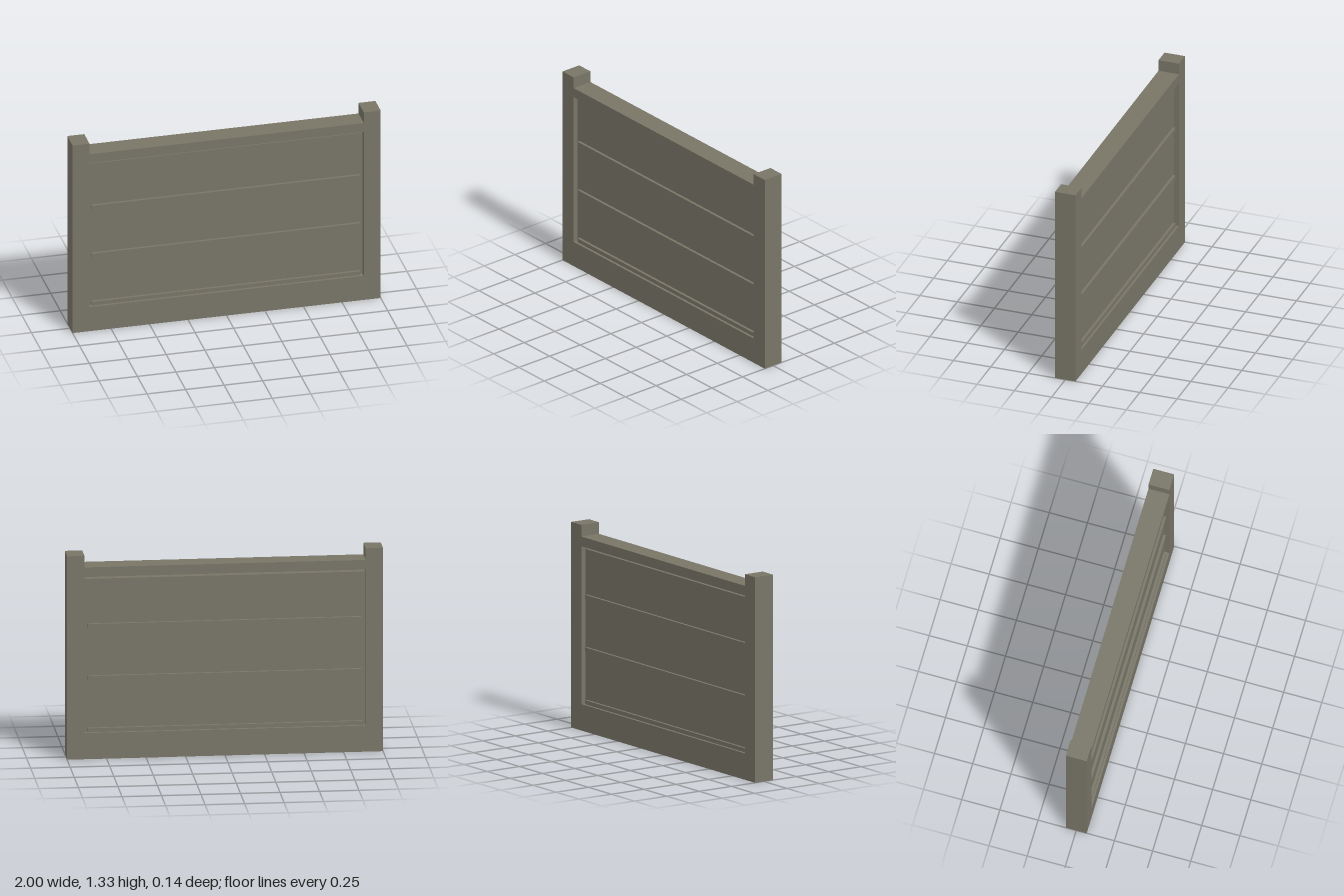
import * as THREE from 'three';

export function createModel() {
  const group = new THREE.Group();
  const paint = new THREE.MeshStandardMaterial({ color: 0x787567 });
  paint.name = 'grey olive';

  // Box centred on x and z, given its bottom and top
  function box(name, width, bottom, top, depth, x = 0, z = 0) {
    const mesh = new THREE.Mesh(new THREE.BoxGeometry(width, top - bottom, depth), paint);
    mesh.name = name;
    mesh.position.set(x, (bottom + top) / 2, z);
    group.add(mesh);
  }

  const depth = 0.137, inner = 0.89, panelDepth = 0.07, slatOut = 0.018;

  // Frame: two posts, bottom rail and top rail
  box('leftPost', 1 - inner, 0, 1.325, depth, (1 + inner) / 2);
  box('rightPost', 1 - inner, 0, 1.325, depth, -(1 + inner) / 2);
  box('bottomRail', inner * 2, 0, 0.17, depth);
  box('topRail', inner * 2, 1.187, 1.25, depth);

  // Recessed panel, leaving a narrow gap under the top rail
  box('panel', inner * 2, 0.17, 1.166, panelDepth);

  // Thin horizontal slats on both faces of the panel
  for (const side of [1, -1]) {
    for (const y of [0.171, 0.511, 0.85]) {
      box(side > 0 ? 'frontSlat' : 'backSlat', 1.74, y, y + 0.026, slatOut, 0,
        side * (panelDepth + slatOut) / 2);
    }
  }
  return group;
}
